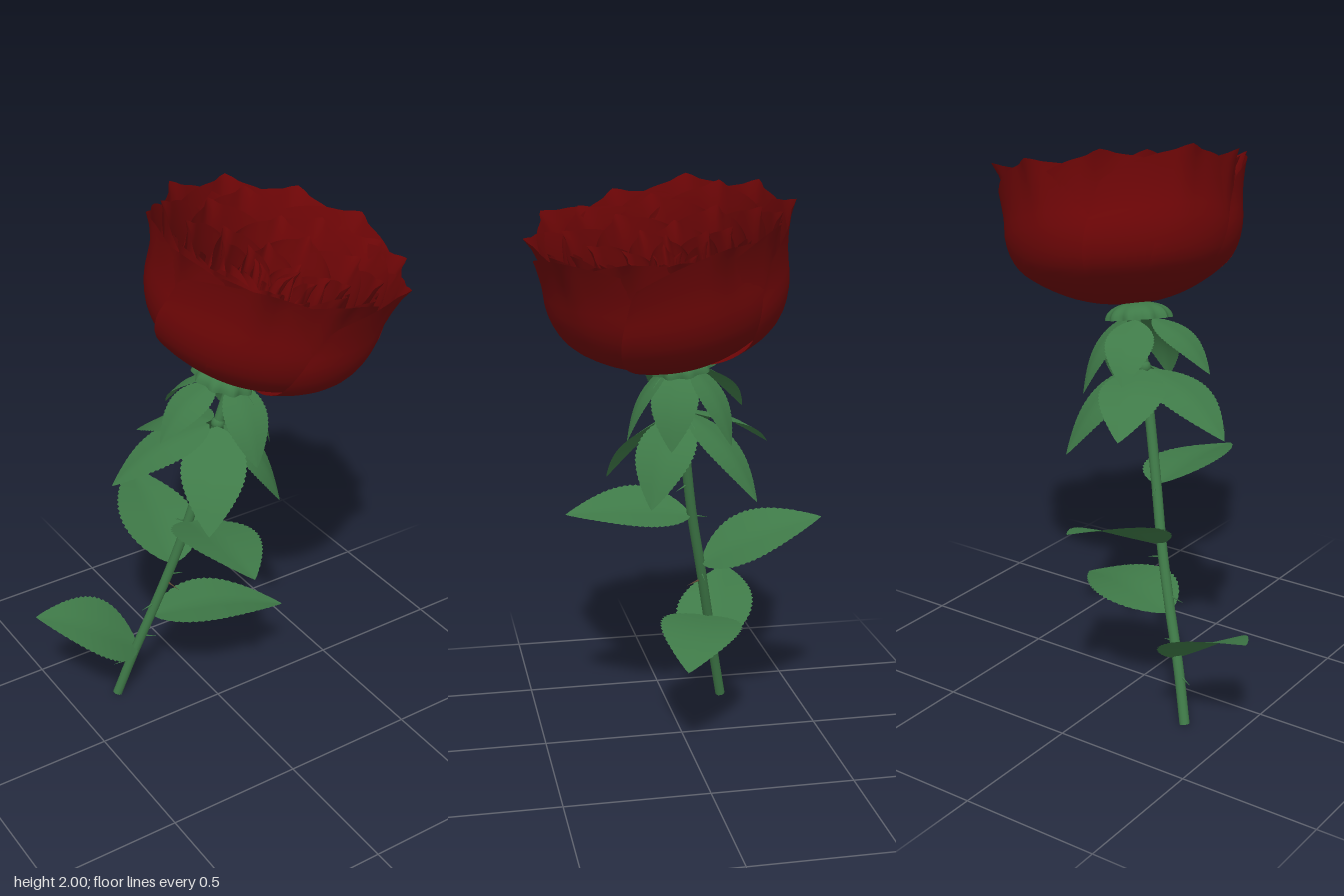
import * as THREE from 'three';

const V = (x, y, z) => new THREE.Vector3(x, y, z);
const mat = (name, color) => {
  const m = new THREE.MeshStandardMaterial({ color, side: THREE.DoubleSide });
  m.name = name;
  return m;
};

// Smooth sheet from a rule f(u, v) -> Vector3, u in -1..1, v in 0..1
function sheet(nu, nv, f) {
  const pos = [], index = [];
  for (let j = 0; j <= nv; j++) {
    for (let i = 0; i <= nu; i++) pos.push(...f((i / nu) * 2 - 1, j / nv).toArray());
  }
  for (let j = 0; j < nv; j++) {
    for (let i = 0; i < nu; i++) {
      const a = j * (nu + 1) + i, b = a + nu + 1;
      index.push(a, a + 1, b, a + 1, b + 1, b);
    }
  }
  const g = new THREE.BufferGeometry();
  g.setAttribute('position', new THREE.Float32BufferAttribute(pos, 3));
  g.setIndex(index);
  g.computeVertexNormals();
  return g;
}

// Serrated, arched leaf folded along its midrib; positive roll lifts the side right of its heading
function leafGeometry(base, tip, half, arch, roll = 0, fold = 0.18) {
  const teeth = 22;
  const dir = tip.clone().sub(base), axis = dir.clone().normalize();
  const side = dir.clone().cross(V(0, 1, 0)).normalize().applyAxisAngle(axis, -roll);
  const up = side.clone().cross(axis);
  return sheet(8, teeth * 2, (u, v) => {
    const tooth = Math.abs(u) > 0.99 && Math.round(v * teeth * 2) % 2 ? 0.95 : 1;
    const w = half * Math.pow(Math.max(0, Math.sin(Math.PI * Math.pow(v, 0.75))), 0.9) * tooth;
    return base.clone().addScaledVector(dir, v)
      .addScaledVector(side, u * w)
      .addScaledVector(up, arch * Math.sin(Math.PI * v) + fold * w * Math.abs(u));
  });
}

export function createModel() {
  const root = new THREE.Group();
  root.name = 'rose';
  const red = mat('petal red', 0x700607);
  const green = mat('leaf green', 0x3f7a48);
  const brown = mat('thorn brown', 0x5c4632);
  const add = (parent, name, geo, m) => {
    const mesh = new THREE.Mesh(geo, m);
    mesh.name = name;
    parent.add(mesh);
    return mesh;
  };
  let seed = 7;
  const rand = () => (seed = (seed * 16807) % 2147483647) / 2147483647 - 0.5;

  // Stem with a closed foot
  const path = new THREE.CatmullRomCurve3([
    V(-0.32, 0.004, -0.215), V(-0.265, 0.2, -0.175), V(-0.2, 0.4, -0.135), V(-0.14, 0.6, -0.095),
    V(-0.09, 0.8, -0.055), V(-0.045, 1.0, -0.025), V(0, 1.2, 0), V(0.06, 1.4, 0.02),
  ]);
  add(root, 'stem', new THREE.TubeGeometry(path, 40, 0.018, 12), green);
  const foot = add(root, 'stemEnd', new THREE.CircleGeometry(0.018, 12), green);
  foot.position.copy(path.getPoint(0));
  foot.lookAt(foot.position.clone().sub(path.getTangent(0)));

  // Thorns: position along the stem, heading in degrees
  const thorns = [[0.12, 200], [0.2, 20], [0.31, 180], [0.38, 70], [0.4, 0], [0.57, 250], [0.66, 55]];
  for (const [t, deg] of thorns) {
    const a = THREE.MathUtils.degToRad(deg);
    const d = V(Math.cos(a), -0.25, Math.sin(a)).normalize();
    const thorn = add(root, 'thorn', new THREE.ConeGeometry(0.004, 0.055, 6), t === 0.38 ? brown : green);
    thorn.position.copy(path.getPoint(t)).addScaledVector(d, 0.042);
    thorn.quaternion.setFromUnitVectors(V(0, 1, 0), d);
  }

  // Large stem leaves: base, tip, half width, arch, roll, fold
  const leaves = [
    [V(-0.25, 0.22, -0.17), V(-0.605, 0.43, -0.29), 0.155, 0.03, 0.2, 0.1],
    [V(-0.2, 0.37, -0.14), V(0.27, 0.34, 0.03), 0.15, 0.035, 0.06, 0.12],
    [V(-0.13, 0.6, -0.1), V(-0.06, 0.775, -0.53), 0.165, 0.025, -0.28, 0.1],
    [V(-0.09, 0.8, -0.05), V(-0.11, 0.82, 0.4), 0.16, 0.02, 0.22, 0.12],
  ];
  for (const l of leaves) add(root, 'stemLeaf', leafGeometry(...l), green);

  // Drooping whorl below the flower
  const whorl = [V(-0.38, 1.03, -0.08), V(-0.13, 1.05, -0.34), V(-0.19, 0.93, 0.24), V(0.17, 0.9, 0.14), V(0.17, 0.91, -0.23)];
  for (const tip of whorl) {
    const base = V(tip.x * 0.08, 1.2, tip.z * 0.08);
    add(root, 'whorlLeaf', leafGeometry(base, tip, 0.115, 0.035, 0, -0.1), green);
  }
  const node = add(root, 'stemNode', new THREE.SphereGeometry(0.024, 14, 10), green);
  node.position.set(0, 1.2, 0);

  // Sepals hanging from the calyx
  const sepals = [V(-0.25, 1.21, 0.03), V(-0.07, 1.2, -0.23), V(0.16, 1.11, -0.14), V(0.17, 1.1, 0.07), V(0.03, 1.11, 0.2)];
  const heart = V(0.03, 1.375, 0.01);
  for (const tip of sepals) {
    const base = heart.clone().lerp(V(tip.x, heart.y, tip.z), 0.2);
    add(root, 'sepal', leafGeometry(base, tip, 0.085, 0.03, 0, -0.1), green);
  }

  // Flower head, tilted on its stem, over a scalloped dome
  const axis = V(0.2, 1, 0.17).normalize();
  const tilt = new THREE.Quaternion().setFromUnitVectors(V(0, 1, 0), axis);
  const calyx = add(root, 'calyx', sheet(60, 10, (u, v) => {
    const a = u * Math.PI;
    const r = 0.11 * Math.sin(v * Math.PI / 2) * (1 + 0.07 * v * Math.cos(a * 10));
    return V(Math.cos(a) * r, -0.06 * v * v, Math.sin(a) * r);
  }), green);
  calyx.position.set(0.035, 1.425, 0.013);
  calyx.quaternion.copy(tilt);

  const bloom = new THREE.Group();
  bloom.name = 'bloom';
  bloom.position.set(0.08, 1.405, 0.03);
  bloom.quaternion.copy(tilt);
  root.add(bloom);

  // Cup profile shared by every petal: radius, height
  const cup = new THREE.SplineCurve([
    [0.005, 0], [0.1, 0.008], [0.2, 0.04], [0.3, 0.1], [0.365, 0.17], [0.395, 0.27], [0.395, 0.39], [0.405, 0.52],
  ].map(([x, y]) => new THREE.Vector2(x, y)));

  // Petal rings: count, radius scale, height, first heading, half angle, inward lean
  const rings = [
    [5, 1.0, 0.485, -13, 56, 0],
    [5, 0.96, 0.48, 23, 56, 0],
    [5, 0.9, 0.465, 5, 54, 0.03],
    [5, 0.82, 0.44, 45, 54, 0.05],
    [5, 0.72, 0.41, 12, 54, 0.08],
    [5, 0.6, 0.38, 50, 54, 0.12],
    [5, 0.48, 0.355, 20, 54, 0.18],
    [5, 0.36, 0.34, 55, 54, 0.24],
    [4, 0.23, 0.325, 10, 65, 0.3],
    [3, 0.1, 0.315, 30, 80, 0.4],
  ];
  rings.forEach(([count, scale, height, start, halfDeg, lean], k) => {
    for (let i = 0; i < count; i++) {
      const jitter = k < 2 ? 0.5 : 1;
      const mid = THREE.MathUtils.degToRad(start + (360 * i) / count + rand() * 16 * jitter);
      const half = THREE.MathUtils.degToRad(halfDeg);
      const h = height + rand() * 0.03 * jitter;
      const curl = 0.02 + rand() * 0.02;
      const geo = sheet(24, 20, (u, v) => {
        const p = cup.getPoint(v);
        const point = Math.exp(-((u / 0.12) ** 2)) * v ** 10;
        const a = mid + u * half * (1 - 0.3 * v ** 3);
        const r = p.x * scale * (1 - lean * v ** 4)
          + 0.018 * u * Math.min(1, v * 2) * Math.min(1, scale * 2)
          + v ** 6 * curl * (1 - u * u) + point * 0.028;
        const y = p.y * (h / 0.52) * (1 - 0.16 * u * u * v * v) + point * 0.015 + k * 0.003;
        return V(Math.cos(a) * r, y, Math.sin(a) * r);
      });
      add(bloom, k < 2 ? 'outerPetal' : 'innerPetal', geo, red);
    }
  });
  return root;
}
